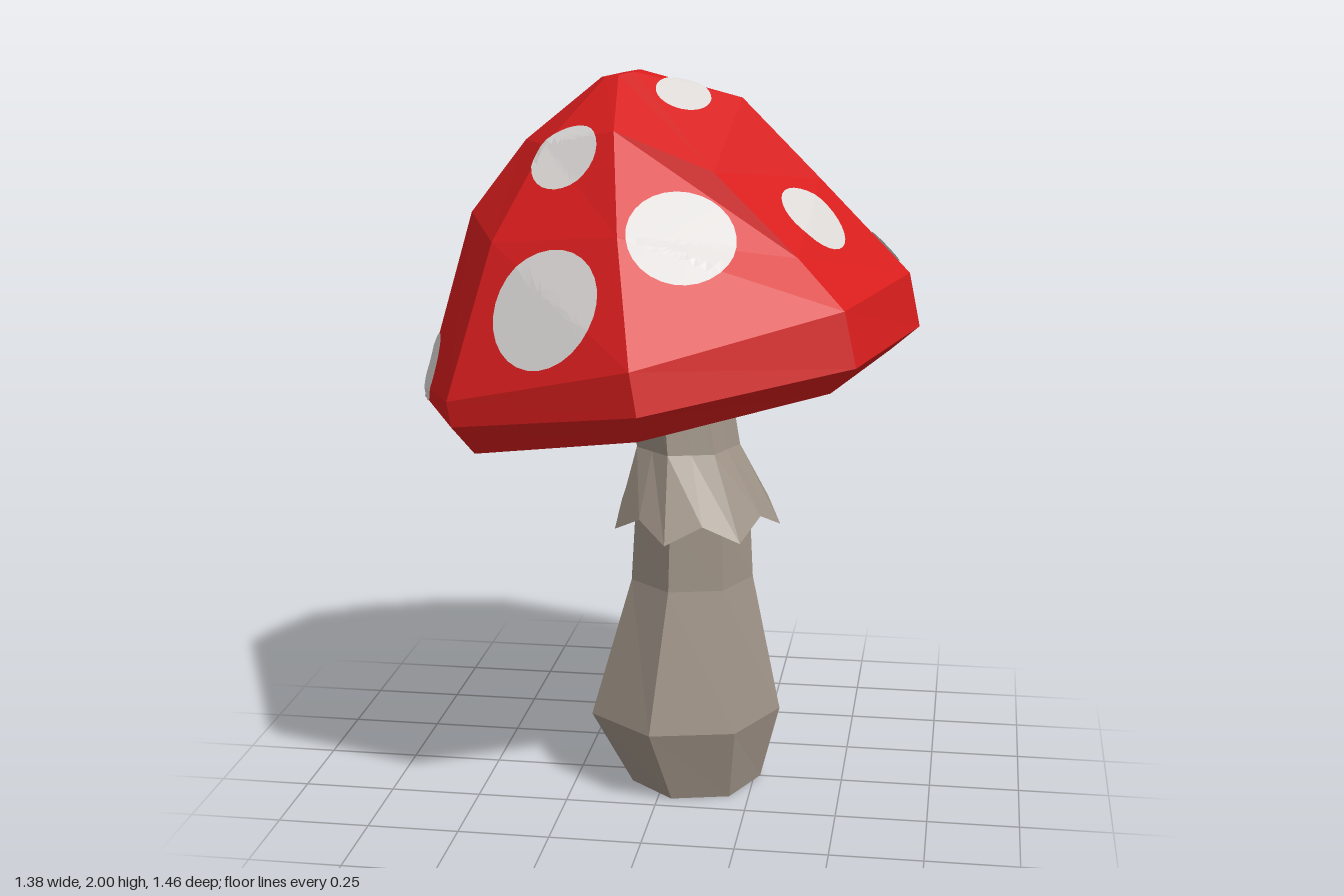
import * as THREE from 'three';

const V = (x, y, z) => new THREE.Vector3(x, y, z);

// Faceted surface through a list of equal-sided rings, optionally closed at each end
function loft(rings, closeStart, closeEnd) {
  const pos = [];
  const sides = rings[0].length;
  const tri = (...pts) => pts.forEach(p => pos.push(p.x, p.y, p.z));
  const middle = r => r.reduce((s, p) => s.add(p), V(0, 0, 0)).divideScalar(sides);
  for (let j = 0; j < sides; j++) {
    const k = (j + 1) % sides;
    for (let i = 0; i < rings.length - 1; i++) {
      const lo = rings[i], hi = rings[i + 1];
      tri(lo[j], hi[j], hi[k]);
      tri(lo[j], hi[k], lo[k]);
    }
    const first = rings[0], last = rings[rings.length - 1];
    if (closeStart) tri(middle(first), first[j], first[k]);
    if (closeEnd) tri(middle(last), last[k], last[j]);
  }
  const g = new THREE.BufferGeometry();
  g.setAttribute('position', new THREE.Float32BufferAttribute(pos, 3));
  g.computeVertexNormals();
  return g;
}

// Seven-sided level ring: centre x, height, x radius, z radius
function stemRing([cx, y, rx, rz]) {
  return Array.from({ length: 7 }, (_, j) => {
    const a = j * 2 * Math.PI / 7;
    return V(cx + rx * Math.cos(a), y, rz * Math.sin(a));
  });
}

// Same ring with the middle of every side added, raised by lift
function skirtRing([cx, y, rx, rz, lift = 0]) {
  const ring = stemRing([cx, y, rx, rz]);
  return ring.flatMap((p, j) => {
    const mid = p.clone().lerp(ring[(j + 1) % 7], 0.5);
    mid.y += lift;
    return [p, mid];
  });
}

// Tilted eight-sided cap ring: left and right corners, middle, radius,
// and where it is uneven the corner between front and right, mirrored to the back
function capRing([xL, yL, xR, yR, xm, ym, r, corner]) {
  return Array.from({ length: 8 }, (_, j) => {
    if (j === 0) return V(xR, yR, 0);
    if (j === 4) return V(xL, yL, 0);
    const c = Math.cos(j * Math.PI / 4), s = Math.sin(j * Math.PI / 4);
    if (corner && (j === 1 || j === 7)) return V(corner[0], corner[1], corner[2] * Math.sign(s));
    return V(xm + r * c, ym + 0.55 * (yR - yL) * c, r * s);
  });
}

// Thin disc draped over the cap at a plan position
function drapedSpot(cap, x, z, radius) {
  const caster = new THREE.Raycaster();
  const cast = (from, dir) => {
    caster.set(from, dir);
    return caster.intersectObject(cap)[0];
  };
  const hit = cast(V(x, 3, z), V(0, -1, 0));
  const radial = hit.point.clone().sub(V(0, 1.2, 0)).normalize();
  const out = hit.face.normal.clone().multiplyScalar(3).add(radial).normalize();
  const u = V(0, 1, 0).cross(out).normalize(), v = out.clone().cross(u);
  const disc = new THREE.RingGeometry(0, radius, 28, 6);
  const p = disc.attributes.position;
  for (let i = 0; i < p.count; i++) {
    const q = hit.point.clone().addScaledVector(u, p.getX(i)).addScaledVector(v, p.getY(i));
    const h = cast(q.clone().addScaledVector(out, 0.3), out.clone().negate());
    const s = h && h.distance < 0.45 ? h.point : q;
    s.addScaledVector(out, 0.007);
    p.setXYZ(i, s.x, s.y, s.z);
  }
  const flat = disc.toNonIndexed();
  flat.computeVertexNormals();
  return flat;
}

export function createModel() {
  const model = new THREE.Group();
  model.name = 'mushroom';
  const material = (name, color, side = THREE.FrontSide) => {
    const m = new THREE.MeshStandardMaterial({ color, side, flatShading: true });
    m.name = name;
    return m;
  };
  const red = material('capRed', 0xd81d1d);
  const white = material('spotWhite', 0xdbd8d6, THREE.DoubleSide);
  const beige = material('stemBeige', 0x9f9387);
  const add = (name, geometry, mat, parent = model) => {
    const mesh = new THREE.Mesh(geometry, mat);
    mesh.name = name;
    parent.add(mesh);
    return mesh;
  };

  // Cap: gill edge, underside rim, outer band, dome, blunt tip
  const capRings = [
    [-0.42, 1.155, 0.46, 1.33, 0.02, 1.24, 0.45],
    [-0.61, 1.015, 0.61, 1.26, 0.02, 1.14, 0.65],
    [-0.69, 1.085, 0.685, 1.325, 0.03, 1.22, 0.73],
    [-0.69, 1.115, 0.655, 1.47, 0.01, 1.33, 0.72, [0.515, 1.455, 0.51]],
    [-0.545, 1.61, 0.41, 1.72, -0.055, 1.625, 0.5, [0.39, 1.57, 0.42]],
    [-0.39, 1.81, 0.2, 1.93, -0.1, 1.865, 0.28, [0.165, 1.77, 0.33]],
    [-0.18, 1.98, -0.07, 2.0, -0.125, 1.99, 0.055],
  ].map(capRing);
  const cap = add('cap', loft(capRings, false, true), red);
  add('gills', loft([capRings[0]], true, false), beige);

  // Spots: plan x, plan z, radius
  const spots = new THREE.Group();
  spots.name = 'spots';
  model.add(spots);
  [
    [-0.23, 0.26, 0.1], [-0.235, 0.525, 0.16], [0.1, 0.46, 0.14],
    [0.41, 0.2, 0.105], [0.05, 0.07, 0.075], [-0.64, 0.085, 0.095],
    [0.32, -0.22, 0.095], [0.58, -0.075, 0.055], [0.53, -0.435, 0.065],
    [0.155, -0.54, 0.155], [-0.185, -0.33, 0.095], [-0.445, -0.23, 0.115],
    [-0.375, -0.55, 0.105],
  ].forEach(([x, z, r]) => add('spot', drapedSpot(cap, x, z, r), white, spots));

  // Stem: swollen foot, narrowing neck
  add('stem', loft([
    [0.08, 0, 0.187, 0.205], [0.047, 0.21, 0.273, 0.277], [0.066, 0.6, 0.174, 0.19],
    [0.067, 0.8, 0.163, 0.18], [0.053, 1.0, 0.137, 0.16], [0.024, 1.27, 0.126, 0.133],
  ].map(stemRing), true, true), beige);

  // Skirt: flared collar with a pointed hem
  add('skirt', loft([
    [0.067, 0.84, 0.155, 0.172], [0.08, 0.755, 0.235, 0.27, 0.05],
    [0.055, 0.98, 0.146, 0.168], [0.03, 1.22, 0.131, 0.14],
  ].map(skirtRing), false, false), beige);

  return model;
}
